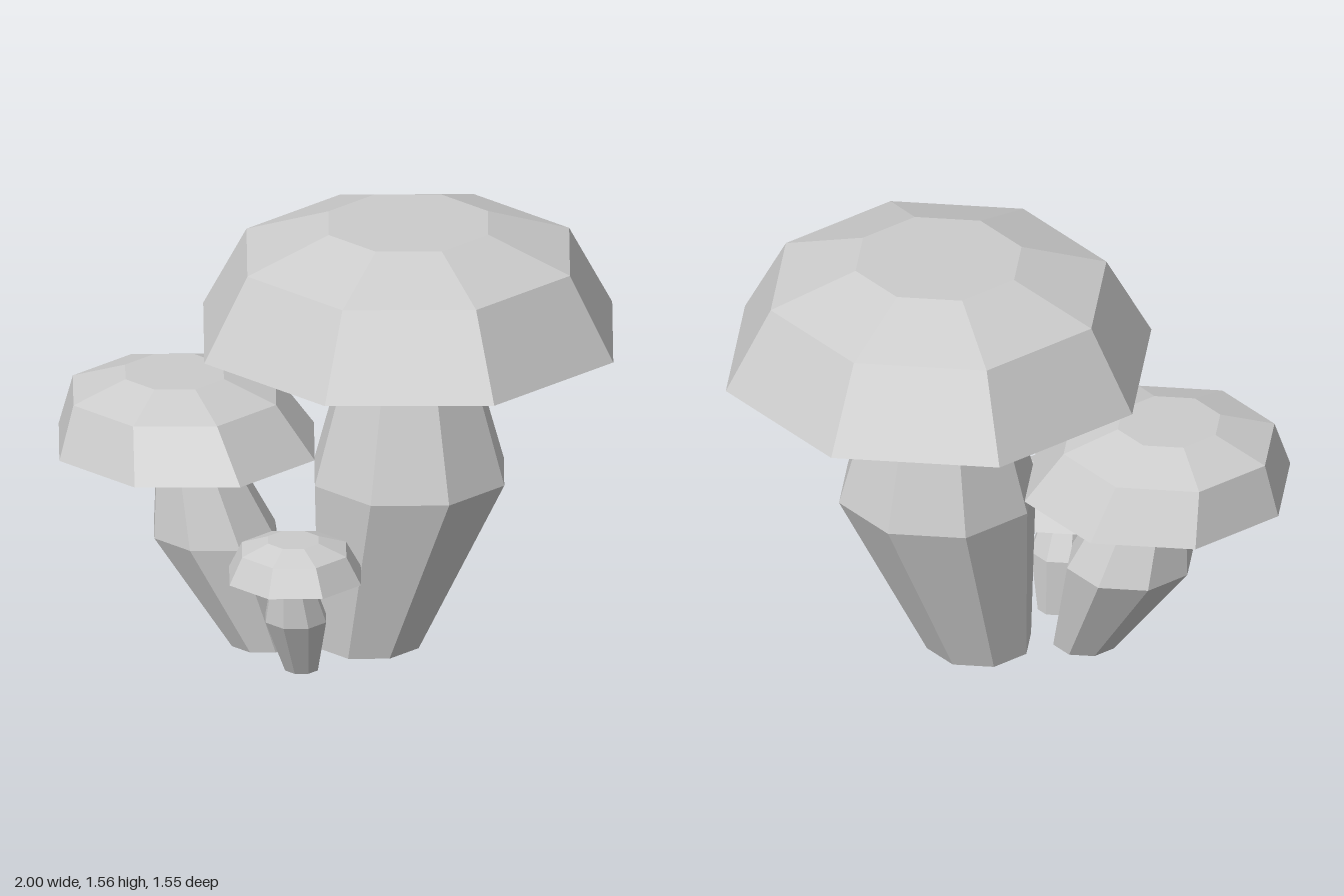
import * as THREE from 'three';

const SIDES = 8;

// Closed faceted solid through octagonal rings [x, y, z, radius], listed bottom to top
function loft(rings) {
  const pos = [];
  const point = ([x, y, z, r], i) => {
    const a = (i / SIDES) * Math.PI * 2;
    return [x + Math.sin(a) * r, y, z + Math.cos(a) * r];
  };
  const first = rings[0], last = rings[rings.length - 1];
  for (let i = 0; i < SIDES; i++) {
    for (let k = 0; k < rings.length - 1; k++) {
      const a = point(rings[k], i), b = point(rings[k], i + 1);
      const c = point(rings[k + 1], i + 1), d = point(rings[k + 1], i);
      pos.push(...a, ...b, ...c, ...a, ...c, ...d);
    }
    pos.push(...first.slice(0, 3), ...point(first, i + 1), ...point(first, i));
    pos.push(...last.slice(0, 3), ...point(last, i), ...point(last, i + 1));
  }
  const geometry = new THREE.BufferGeometry();
  geometry.setAttribute('position', new THREE.Float32BufferAttribute(pos, 3));
  geometry.computeVertexNormals(); // unshared corners give flat facets
  return geometry;
}

// Stem: foot, bulge, neck. Cap: neck, rim, shoulder, crown.
const MUSHROOMS = [
  {
    name: 'largeMushroom',
    stem: [[0.1, 0, 0.08, 0.19], [0.222, 0.625, 0, 0.36], [0.22, 1.05, 0, 0.24]],
    cap: [[0.22, 1.05, 0, 0.24], [0.218, 1.148, 0, 0.777], [0.218, 1.45, 0, 0.613], [0.218, 1.56, 0, 0.303]],
  },
  {
    name: 'mediumMushroom',
    stem: [[-0.232, 0.01, 0.25, 0.117], [-0.42, 0.4, 0.235, 0.23], [-0.48, 0.66, 0.26, 0.15]],
    cap: [[-0.48, 0.66, 0.26, 0.15], [-0.515, 0.725, 0.262, 0.485], [-0.56, 0.913, 0.265, 0.385], [-0.56, 0.982, 0.265, 0.187]],
  },
  {
    name: 'smallMushroom',
    stem: [[-0.018, 0, 0.415, 0.062], [-0.015, 0.21, 0.475, 0.115], [-0.015, 0.35, 0.508, 0.08]],
    cap: [[-0.015, 0.35, 0.508, 0.08], [-0.005, 0.382, 0.506, 0.25], [-0.008, 0.48, 0.508, 0.198], [-0.01, 0.517, 0.51, 0.096]],
  },
];

export function createModel() {
  const grey = new THREE.MeshStandardMaterial({ color: 0xcccccc });
  grey.name = 'paleGrey';

  const model = new THREE.Group();
  model.name = 'mushroomCluster';
  for (const { name, stem, cap } of MUSHROOMS) {
    const mushroom = new THREE.Group();
    mushroom.name = name;
    for (const [part, rings] of [['stem', stem], ['cap', cap]]) {
      const mesh = new THREE.Mesh(loft(rings), grey);
      mesh.name = part;
      mushroom.add(mesh);
    }
    model.add(mushroom);
  }
  return model;
}
